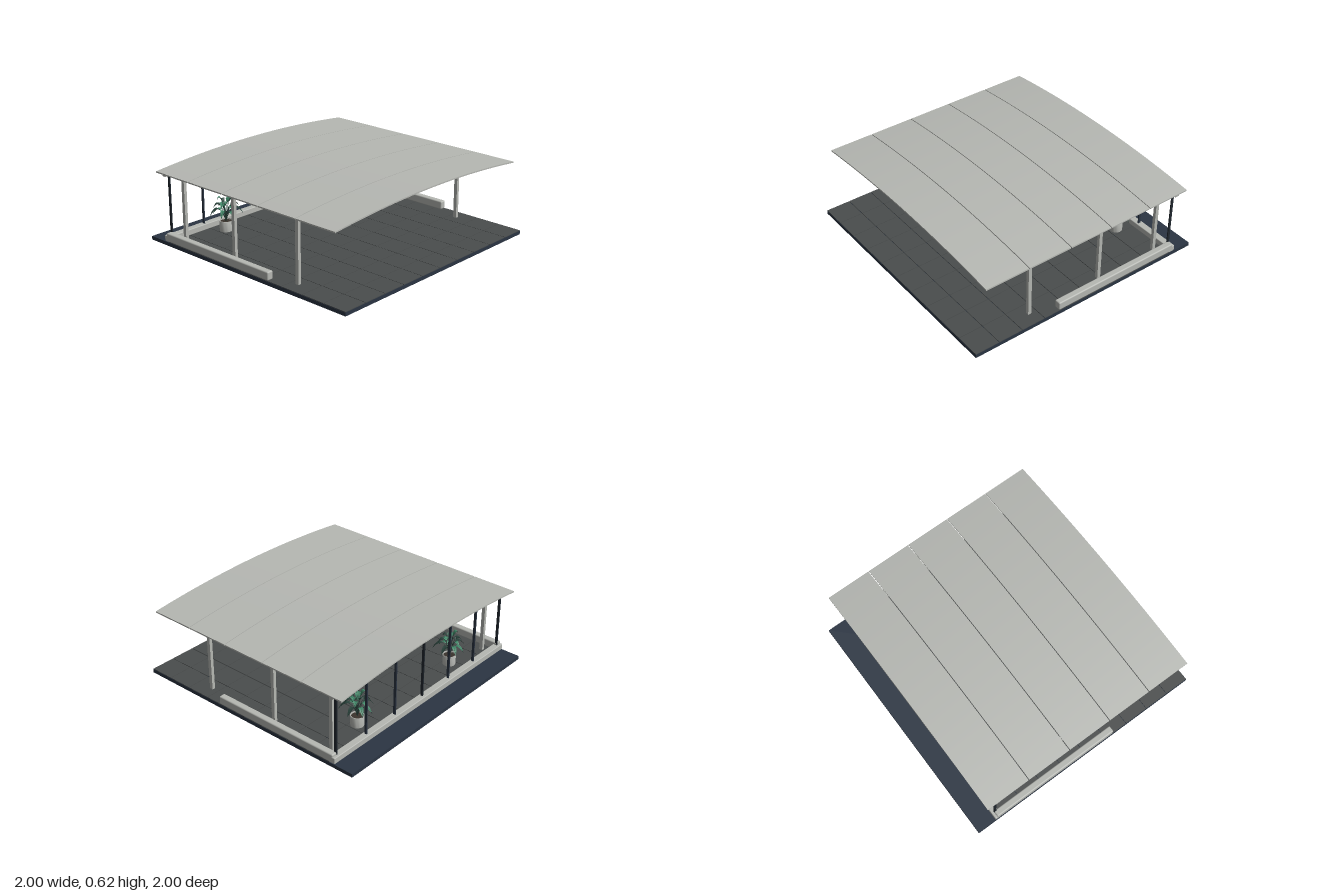
import * as THREE from 'three';
import { toCreasedNormals } from 'three/addons/utils/BufferGeometryUtils.js';
import { RoundedBoxGeometry } from 'three/addons/geometries/RoundedBoxGeometry.js';

const mat = (name, color, side = THREE.FrontSide) => {
  const m = new THREE.MeshStandardMaterial({ color, side });
  m.name = name;
  return m;
};

export function createModel() {
  const model = new THREE.Group();
  model.name = 'pavilion';

  const paleGrey = mat('paleGrey', 0xb6b8b3);
  const navy = mat('navy', 0x2b3543);
  const slate = mat('slate', 0x4a4d4d);
  const black = mat('frameDark', 0x20272e);
  const soilDark = mat('soil', 0x3a332c);
  const leafGreen = mat('leafGreen', 0x3f8566, THREE.DoubleSide);
  const leafDark = mat('leafDark', 0x263f38, THREE.DoubleSide);

  const add = (name, geometry, material, x = 0, y = 0, z = 0, parent = model) => {
    const mesh = new THREE.Mesh(geometry, material);
    mesh.name = name;
    mesh.position.set(x, y, z);
    parent.add(mesh);
    return mesh;
  };
  const group = (name) => {
    const g = new THREE.Group();
    g.name = name;
    model.add(g);
    return g;
  };

  // Base slab, with paving that stops at the back sill
  add('base', new THREE.BoxGeometry(2, 0.028, 2), navy, 0, 0.014, 0);
  const paving = group('paving');
  const tile = new THREE.BoxGeometry(0.196, 0.005, 0.196);
  for (let i = 0; i < 10; i++) {
    for (let j = 0; j < 9; j++) {
      add('floorTile', tile, slate, -0.9 + i * 0.2, 0.0305, -0.7 + j * 0.2, paving);
    }
  }

  // Arched roof: five curved panels with narrow gaps
  const roofTop = (x) => 0.57 + 0.055 * (1 - x * x);
  const profile = new THREE.Shape();
  const SEG = 28;
  for (let i = 0; i <= SEG; i++) {
    const x = -1 + (2 * i) / SEG;
    if (i === 0) profile.moveTo(x, roofTop(x) - 0.01);
    else profile.lineTo(x, roofTop(x) - 0.01);
  }
  for (let i = SEG; i >= 0; i--) {
    const x = -1 + (2 * i) / SEG;
    profile.lineTo(x, roofTop(x));
  }
  const panelDepth = 0.358;
  const panel = toCreasedNormals(
    new THREE.ExtrudeGeometry(profile, { depth: panelDepth, bevelEnabled: false }), 0.5);
  const roof = group('roof');
  for (let i = -2; i <= 2; i++) {
    add('roofPanel', panel, paleGrey, 0, 0, i * 0.364 - panelDepth / 2, roof);
  }

  // Six columns
  const columnHeight = 0.541;
  const column = new THREE.BoxGeometry(0.025, columnHeight, 0.028);
  for (const side of [-1, 1]) {
    for (const z of [0.46, -0.18, -0.725]) {
      add('column', column, paleGrey, side * 0.89, 0.031 + columnHeight / 2, z);
    }
  }

  // Low side walls and back sill
  for (const side of [-1, 1]) {
    add('sideWall', new RoundedBoxGeometry(0.052, 0.066, 1.095, 3, 0.01), paleGrey,
      side * 0.974, 0.066, -0.277);
  }
  add('backSill', new RoundedBoxGeometry(2, 0.048, 0.055, 3, 0.006), paleGrey, 0, 0.055, -0.8175);

  // Back frame: thin posts under a head beam
  const post = new THREE.BoxGeometry(0.009, 0.475, 0.02);
  for (let i = -3; i <= 3; i++) {
    add('framePost', post, i % 3 ? navy : black, i * 0.318, 0.3145, -0.815);
  }
  add('headBeam', new THREE.BoxGeometry(2, 0.02, 0.034), paleGrey, 0, 0.56, -0.815);

  // Arching leaf: a folded blade that tapers along a curve, plus its stem
  const stemOf = (reach, rise, drop) => new THREE.QuadraticBezierCurve3(
    new THREE.Vector3(0, 0, 0),
    new THREE.Vector3(reach * 0.4, rise * 1.3, 0),
    new THREE.Vector3(reach, rise - drop, 0));
  const leafGeometry = (curve, width) => {
    const N = 8, pos = [], idx = [];
    for (let i = 0; i <= N; i++) {
      const t = i / N;
      const p = curve.getPoint(0.42 + 0.58 * t);
      const w = width * Math.pow(Math.sin(Math.PI * Math.pow(t, 0.8)), 0.8) || 0;
      const lift = w * 0.3;
      pos.push(p.x, p.y + lift, -w, p.x, p.y, 0, p.x, p.y + lift, w);
      if (i < N) {
        for (let k = 0; k < 2; k++) {
          const a = i * 3 + k;
          idx.push(a, a + 1, a + 3, a + 1, a + 4, a + 3);
        }
      }
    }
    const g = new THREE.BufferGeometry();
    g.setAttribute('position', new THREE.Float32BufferAttribute(pos, 3));
    g.setIndex(idx);
    g.computeVertexNormals();
    return g;
  };

  // Leaf rings: count, reach, rise, tip drop, half width, first angle
  const rings = [
    [7, 0.122, 0.135, 0.075, 0.017, 0.1],
    [6, 0.095, 0.165, 0.045, 0.018, 0.5],
    [5, 0.06, 0.185, 0.015, 0.016, 0.2],
  ];
  // Turned pot with a recessed soil disc
  const potProfile = [[0, 0], [0.046, 0], [0.05, 0.004], [0.052, 0.084], [0.051, 0.087],
    [0.046, 0.087], [0.045, 0.07]].map(([x, y]) => new THREE.Vector2(x, y));
  const potGeometry = toCreasedNormals(new THREE.LatheGeometry(potProfile, 28), 0.6);

  for (const x of [-0.545, 0.545]) {
    const plant = group('pottedPlant');
    plant.position.set(x, 0.033, -0.66);
    add('pot', potGeometry, paleGrey, 0, 0, 0, plant);
    add('soil', new THREE.CylinderGeometry(0.046, 0.046, 0.006, 28), soilDark, 0, 0.074, 0, plant);
    rings.forEach(([count, reach, rise, drop, width, start], r) => {
      for (let i = 0; i < count; i++) {
        const vary = 1 + 0.09 * Math.sin(i * 2.3 + r * 1.7);
        const curve = stemOf(reach * vary, rise * vary, drop);
        const angle = start + (i / count) * Math.PI * 2;
        const blade = add('leaf', leafGeometry(curve, width),
          (i + r) % 3 ? leafGreen : leafDark, 0, 0.077, 0, plant);
        const stem = add('leafStem', new THREE.TubeGeometry(curve, 8, 0.0018, 5), leafDark,
          0, 0.077, 0, plant);
        blade.rotation.y = stem.rotation.y = angle;
      }
    });
  }

  return model;
}
